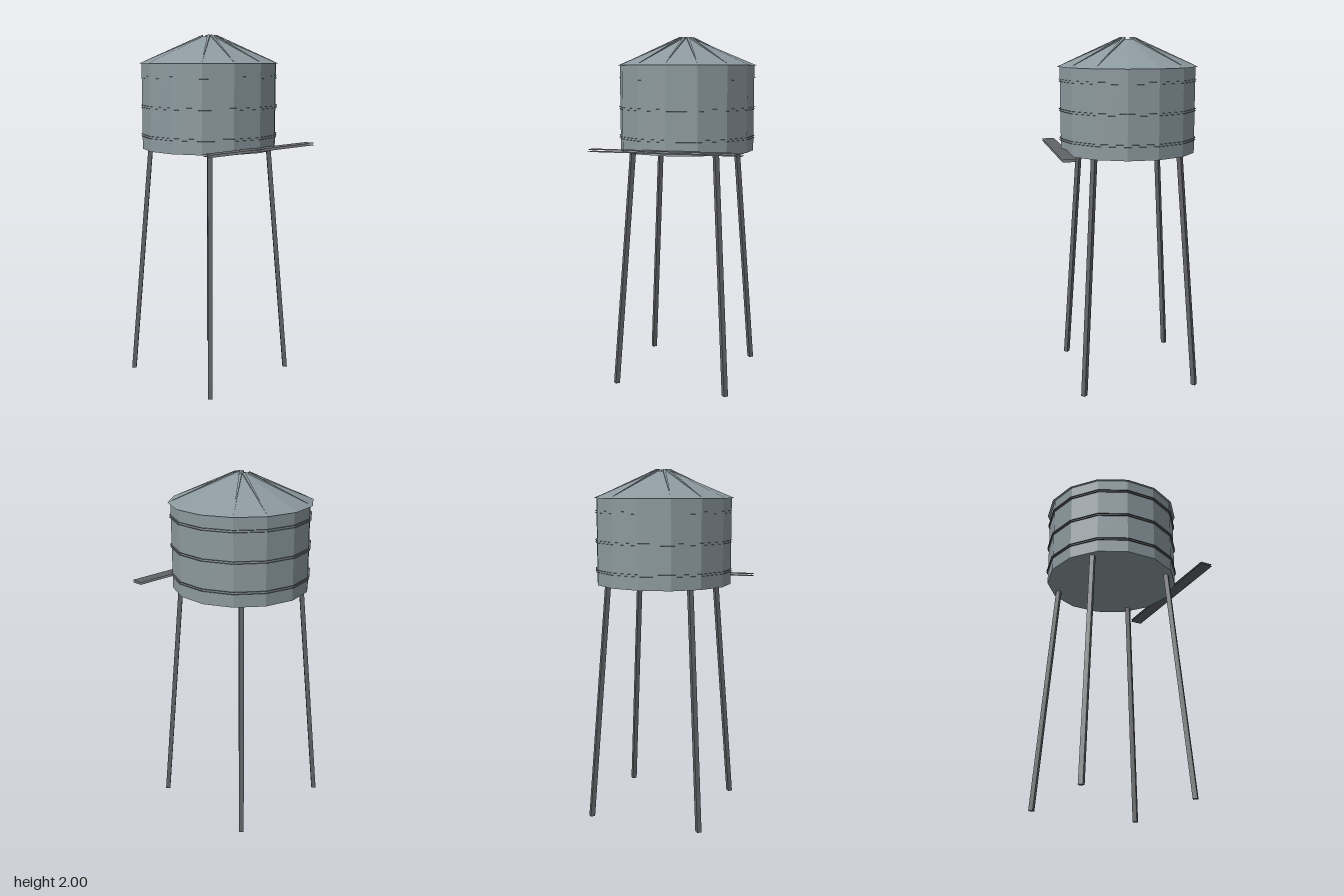
import * as THREE from 'three';

const SIDES = 14;
const AXIS_Z = -0.02; // the tank axis sits slightly behind the centre

export function createModel() {
  const model = new THREE.Group();
  model.name = 'waterTower';

  const tankGrey = new THREE.MeshStandardMaterial({ color: 0x8c999f, flatShading: true });
  tankGrey.name = 'tank grey';
  const darkSteel = new THREE.MeshStandardMaterial({ color: 0x626367, flatShading: true, side: THREE.DoubleSide });
  darkSteel.name = 'dark steel';

  const tower = new THREE.Group();
  tower.name = 'tower';
  tower.position.z = AXIS_Z;
  model.add(tower);

  const add = (parent, name, geometry, material, x = 0, y = 0, z = 0) => {
    const mesh = new THREE.Mesh(geometry, material);
    mesh.name = name;
    mesh.position.set(x, y, z);
    parent.add(mesh);
    return mesh;
  };

  // Tank body
  const base = 1.355, eave = 1.84;
  add(tower, 'tank', new THREE.CylinderGeometry(0.389, 0.389, eave - base, SIDES), tankGrey, 0, (base + eave) / 2, 0);

  // Roof: a cut cone with a small flat top
  const roofR = 0.404, capR = 0.045, capY = 1.99;
  add(tower, 'roof', new THREE.CylinderGeometry(capR, roofR, capY - eave, SIDES), tankGrey, 0, (capY + eave) / 2, 0);

  // Roof ribs: bars that narrow and sink into the seams towards the eave
  const roofY = (r) => capY - (r - capR) * (capY - eave) / (roofR - capR);
  const ribGeometry = new THREE.BoxGeometry(1, 1, 1);
  const p = ribGeometry.attributes.position;
  for (let i = 0; i < p.count; i++) {
    const t = p.getZ(i) + 0.5;
    const r = 0.042 + t * 0.335;
    const lift = p.getY(i) > 0 ? 0.001 + 0.008 * (1 - t) : -0.01;
    p.setXYZ(i, p.getX(i) * (0.003 + 0.012 * (1 - t)), roofY(r) + lift, r);
  }
  ribGeometry.computeVertexNormals();
  for (const k of [-6, -5, -2, -1, 0, 1, 2, 5, 6]) {
    add(tower, 'roofRib', ribGeometry, tankGrey).rotation.y = (k / SIDES) * Math.PI * 2;
  }

  // Hoops: pairs of flat rings around the tank
  const ringGeometry = new THREE.RingGeometry(0.385, 0.398, SIDES, 1, Math.PI / 2);
  ringGeometry.rotateX(-Math.PI / 2);
  for (const y of [1.435, 1.6, 1.765]) {
    for (const dy of [-0.006, 0.006]) add(tower, 'hoop', ringGeometry, darkSteel, 0, y + dy, 0);
  }

  // Legs: square posts set diagonally, leaning inwards to the tank
  const legTop = base + 0.005;
  for (const sx of [-1, 1]) {
    for (const sz of [-1, 1]) {
      const leg = new THREE.CylinderGeometry(0.0185, 0.0185, legTop, 4);
      leg.translate(0, legTop / 2, 0);
      const v = leg.attributes.position;
      for (let i = 0; i < v.count; i++) {
        const d = 0.328 - 0.085 * (v.getY(i) / legTop);
        v.setX(i, v.getX(i) + sx * d);
        v.setZ(i, v.getZ(i) + sz * d);
      }
      leg.computeVertexNormals();
      add(tower, 'leg', leg, darkSteel);
    }
  }

  // Walkway in front of the tank: two flat sheets
  const sheet = new THREE.PlaneGeometry(0.87, 0.075);
  sheet.rotateX(-Math.PI / 2);
  for (const y of [1.371, 1.383]) add(model, 'walkway', sheet, darkSteel, 0, y, 0.3875);

  return model;
}
